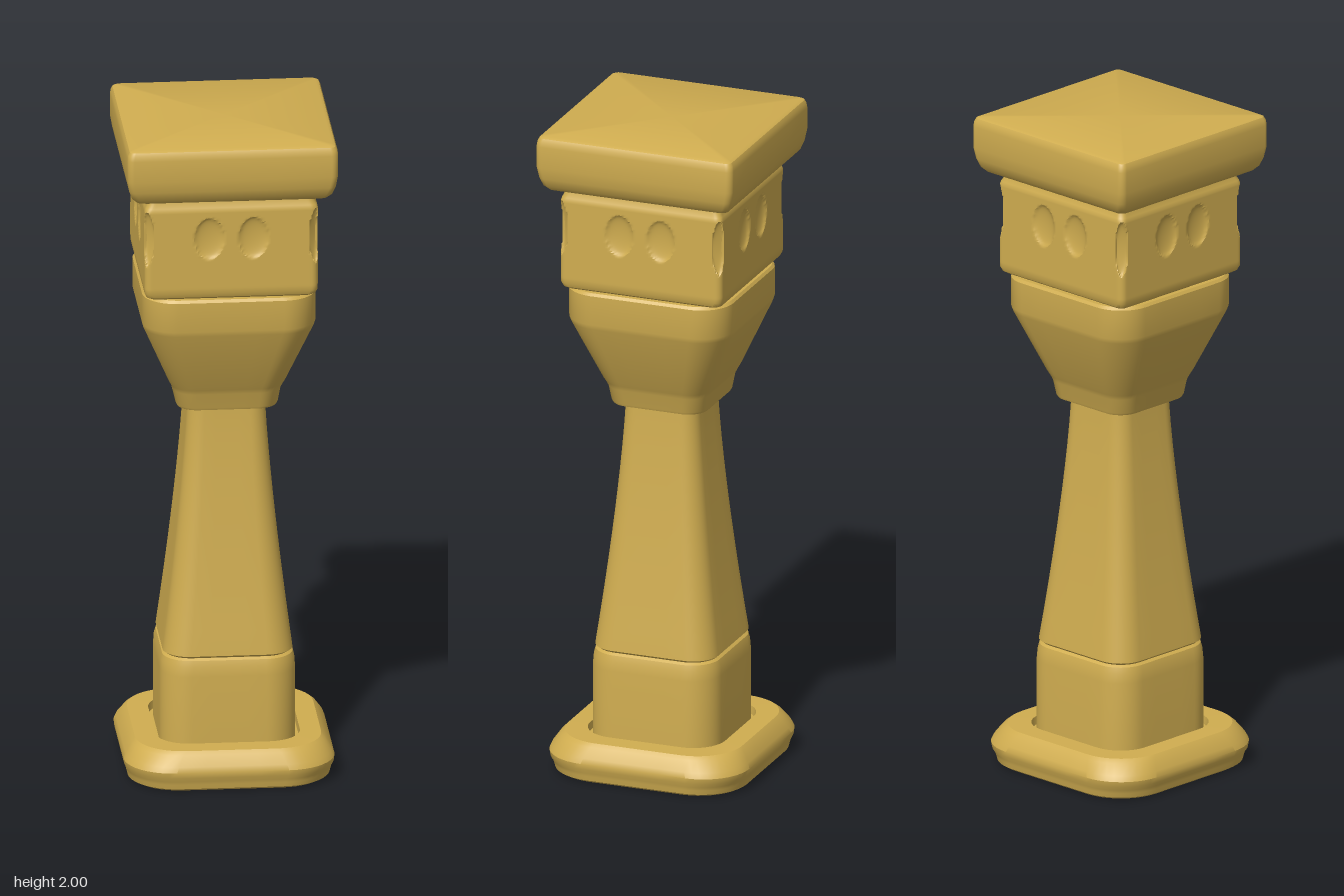
import * as THREE from 'three';
import { toCreasedNormals } from 'three/addons/utils/BufferGeometryUtils.js';

const material = new THREE.MeshStandardMaterial({ color: 0xd0ad50 });

// Outline of a square with half width h and corner radius r, as [x, z] points
function roundedSquare(h, r, arcSteps, sideSteps) {
  const points = [];
  const c = h - r;
  for (let k = 0; k < 4; k++) {
    const cos = Math.round(Math.cos(k * Math.PI / 2));
    const sin = Math.round(Math.sin(k * Math.PI / 2));
    const add = (x, z) => points.push([x * cos - z * sin, x * sin + z * cos]);
    for (let i = 0; i <= arcSteps; i++) {
      const a = i / arcSteps * Math.PI / 2;
      add(c + r * Math.cos(a), c + r * Math.sin(a));
    }
    for (let i = 1; i < sideSteps; i++) add(c - 2 * c * i / sideSteps, h);
  }
  return points;
}

// Skin through sections [y, half width, corner radius], closed at both ends
function loft(name, sections, { arcSteps = 10, sideSteps = 4, rule = null, crease = 0.5 } = {}) {
  const first = sections[0], last = sections[sections.length - 1];
  const rings = [[first[0], 0.0004, 0.0002], ...sections, [last[0], 0.0004, 0.0002]];
  const positions = [], index = [];
  let count = 0;
  for (const [y, h, r] of rings) {
    const outline = roundedSquare(h, r, arcSteps, sideSteps);
    count = outline.length;
    for (const [x, z] of outline) {
      const p = new THREE.Vector3(x, y, z);
      if (rule) rule(p);
      positions.push(p.x, p.y, p.z);
    }
  }
  for (let i = 0; i < rings.length - 1; i++) {
    for (let j = 0; j < count; j++) {
      const a = i * count + j, b = i * count + (j + 1) % count;
      index.push(a, a + count, b, b, a + count, b + count);
    }
  }
  let geometry = new THREE.BufferGeometry();
  geometry.setAttribute('position', new THREE.Float32BufferAttribute(positions, 3));
  geometry.setIndex(index);
  // enlarged while normals are merged, so close vertices stay distinct
  geometry.scale(100, 100, 100);
  geometry = toCreasedNormals(geometry, crease);
  geometry.scale(0.01, 0.01, 0.01);
  const mesh = new THREE.Mesh(geometry, material);
  mesh.name = name;
  return mesh;
}

const HEAD = 0.255;

// Presses two oval dishes into each head face and a slim one into each corner
function pressOvals(p) {
  const dy = (p.y - 1.705) / 0.063;
  if (Math.abs(dy) > 1.4) return;
  const dish = (u, v) => Math.sqrt(Math.max(0, 1 - u * u - v * v));
  const ax = Math.abs(p.x), az = Math.abs(p.z);
  if (az > HEAD - 0.002 && ax < 0.2) {
    p.z -= Math.sign(p.z) * 0.012 * dish((ax - 0.065) / 0.043, dy);
  } else if (ax > HEAD - 0.002 && az < 0.2) {
    p.x -= Math.sign(p.x) * 0.012 * dish((az - 0.065) / 0.043, dy);
  } else if (ax > 0.23 && az > 0.23) {
    const d = 0.012 * dish((ax - az) / 0.026, dy * 0.75);
    p.x -= Math.sign(p.x) * d;
    p.z -= Math.sign(p.z) * d;
  }
}

export function createModel() {
  const model = new THREE.Group();
  model.name = 'column';

  // Foot slab with a sloped shoulder and a shallow channel round the plinth
  model.add(loft('base', [
    [0, 0.285, 0.14], [0.008, 0.297, 0.145], [0.022, 0.300, 0.145],
    [0.032, 0.302, 0.145], [0.045, 0.308, 0.145], [0.062, 0.310, 0.145],
    [0.078, 0.304, 0.145], [0.108, 0.284, 0.14], [0.118, 0.274, 0.14],
    [0.119, 0.213, 0.10], [0.095, 0.211, 0.10],
  ]));

  model.add(loft('plinth', [
    [0.09, 0.199, 0.09], [0.32, 0.199, 0.09], [0.35, 0.197, 0.09],
    [0.368, 0.192, 0.085], [0.374, 0.184, 0.08],
  ]));

  // Shaft with a gentle concave taper
  const shaft = [[0.373, 0.182, 0.075], [0.381, 0.191, 0.078]];
  for (let i = 0; i <= 12; i++) {
    const t = i / 12;
    shaft.push([0.39 + 0.79 * t, 0.113 + 0.077 * Math.pow(1 - t, 1.35), 0.045 + 0.033 * (1 - t)]);
  }
  model.add(loft('shaft', shaft));

  // Flared capital; its collar is hollow underneath
  model.add(loft('capital', [
    [1.17, 0.128, 0.055], [1.133, 0.132, 0.055], [1.133, 0.147, 0.06],
    [1.14, 0.150, 0.06], [1.185, 0.158, 0.064], [1.20, 0.165, 0.068],
    [1.215, 0.173, 0.072], [1.40, 0.251, 0.10], [1.415, 0.255, 0.10],
    [1.505, 0.255, 0.10], [1.513, 0.249, 0.10],
  ]));

  // Square head block
  const head = [[1.515, 0.238, 0.02], [1.522, 0.249, 0.02], [1.535, 0.2545, 0.02]];
  for (let i = 0; i <= 46; i++) head.push([1.55 + 0.24 * i / 46, HEAD, 0.02]);
  head.push([1.80, 0.252, 0.02], [1.812, 0.246, 0.02], [1.835, 0.244, 0.02]);
  model.add(loft('head', head, { arcSteps: 8, sideSteps: 76, rule: pressOvals, crease: 0.6 }));

  // Overhanging top slab with a rounded underside
  model.add(loft('topSlab', [
    [1.822, 0.245, 0.015], [1.824, 0.265, 0.018], [1.831, 0.282, 0.02],
    [1.845, 0.295, 0.02], [1.87, 0.304, 0.02], [1.905, 0.310, 0.02],
    [1.97, 0.310, 0.02], [1.985, 0.308, 0.02], [1.995, 0.303, 0.018],
    [2.0, 0.293, 0.012],
  ], { crease: 0.6 }));

  return model;
}
